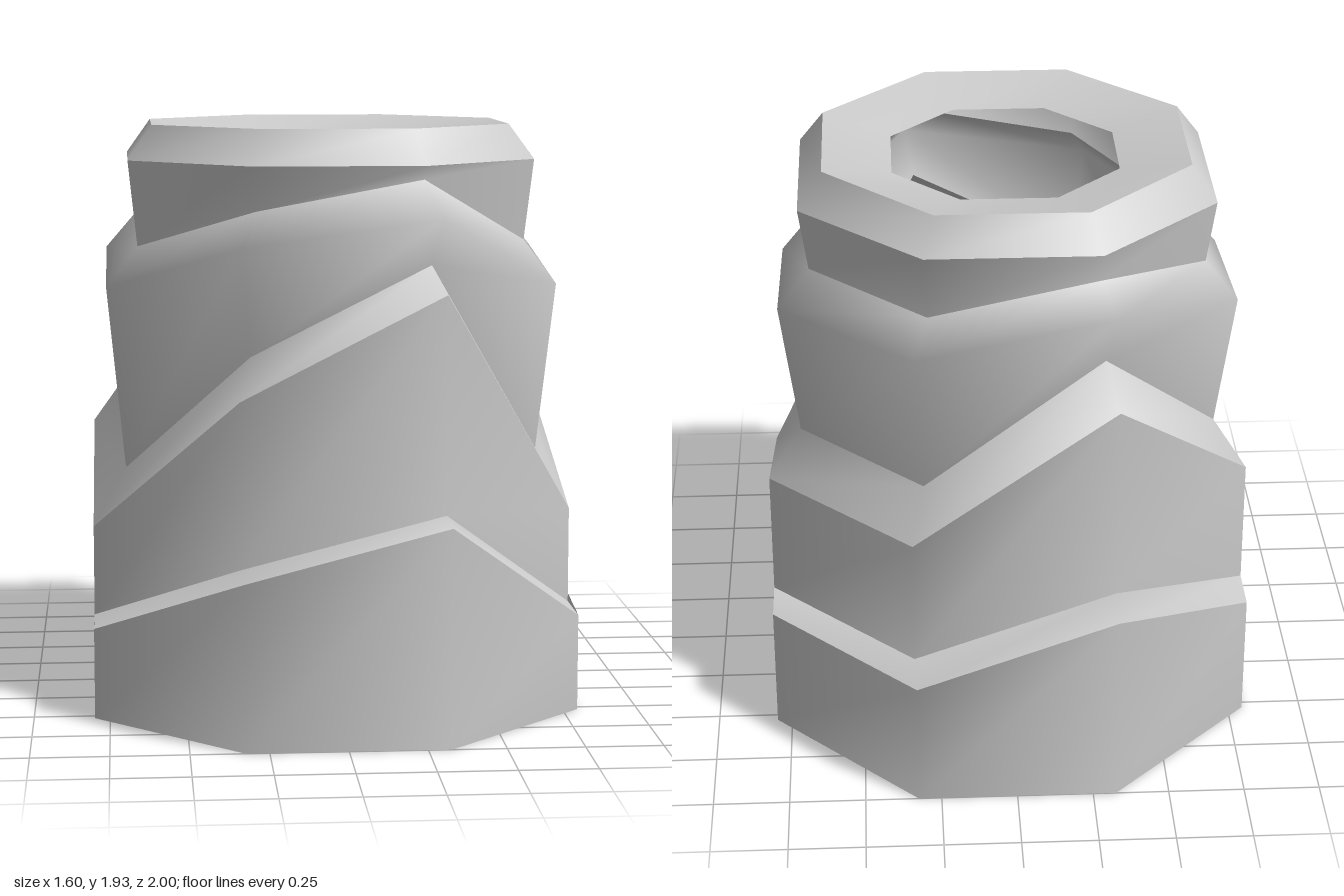
import * as THREE from 'three';

// Eight corners, counterclockwise from above, starting front left of the viewer.
// a: half width of front/back faces, b: half width overall,
// front/back: z of those faces, sf/sb: z of the side face's corners.
// h: one height, or one per corner.
function ring(a, b, front, sf, sb, back, h) {
  const xz = [[-a, front], [a, front], [b, sf], [b, sb], [a, back], [-a, back], [-b, sb], [-b, sf]];
  return xz.map(([x, z], i) => [x, Array.isArray(h) ? h[i] : h, z]);
}

// Skin joining consecutive rings, smooth inside and sharp at its borders.
function band(name, material, ...rings) {
  const position = rings.flat(2);
  const index = [];
  for (let r = 0; r < rings.length - 1; r++) {
    for (let i = 0; i < 8; i++) {
      const j = (i + 1) % 8;
      const p = r * 8 + i, q = r * 8 + j;
      index.push(p, q, q + 8, p, q + 8, p + 8);
    }
  }
  const g = new THREE.BufferGeometry();
  g.setAttribute('position', new THREE.Float32BufferAttribute(position, 3));
  g.setIndex(index);
  g.computeVertexNormals();
  const mesh = new THREE.Mesh(g, material);
  mesh.name = name;
  return mesh;
}

export function createModel() {
  const group = new THREE.Group();
  group.name = 'steppedTower';
  const grey = new THREE.MeshStandardMaterial({ color: 0xcccccc, side: THREE.DoubleSide });

  // Slanting heights of the tier edges, corner by corner
  const bodyH = [1.08, 1.415, 0.64, 0.86, 0.86, 1.33, 0.86, 0.6];
  const baseH = bodyH.map((h) => h / 2);
  const shoulderH = [1.21, 1.5, 0.84, 1.02, 1.02, 1.46, 1.02, 0.79];
  const collarH = [1.56, 1.65, 1.4, 1.48, 1.5, 1.63, 1.48, 1.4];
  const neckH = [1.67, 1.77, 1.545, 1.605, 1.605, 1.72, 1.605, 1.53];

  const foot = ring(0.325, 0.8, 1, 0.53, -0.53, -1, 0);
  const baseTop = ring(0.325, 0.8, 1, 0.53, -0.53, -1, baseH);
  const bodyFoot = ring(0.33, 0.8, 0.78, 0.31, -0.36, -0.82, baseH);
  const bodyTop = ring(0.33, 0.8, 0.78, 0.31, -0.36, -0.82, bodyH);
  const collarFoot = ring(0.29, 0.69, 0.67, 0.26, -0.31, -0.71, shoulderH);
  const collarWide = ring(0.32, 0.75, 0.73, 0.29, -0.34, -0.767, collarH);
  const neckFoot = ring(0.27, 0.645, 0.625, 0.25, -0.3, -0.67, neckH);
  const neckTop = ring(0.28, 0.675, 0.65, 0.27, -0.31, -0.69, 1.815);
  const rimOuter = ring(0.245, 0.595, 0.575, 0.225, -0.265, -0.615, 1.93);
  const rimInner = ring(0.155, 0.37, 0.35, 0.13, -0.17, -0.39, 1.88);

  group.add(
    band('base', grey, foot, baseTop),
    band('baseLedge', grey, baseTop, bodyFoot),
    band('body', grey, bodyFoot, bodyTop),
    band('bodyLedge', grey, bodyTop, collarFoot),
    band('collar', grey, collarFoot, collarWide, neckFoot),
    band('neck', grey, neckFoot, neckTop),
    band('rimBevel', grey, neckTop, rimOuter),
    band('rim', grey, rimOuter, rimInner),
  );
  return group;
}
